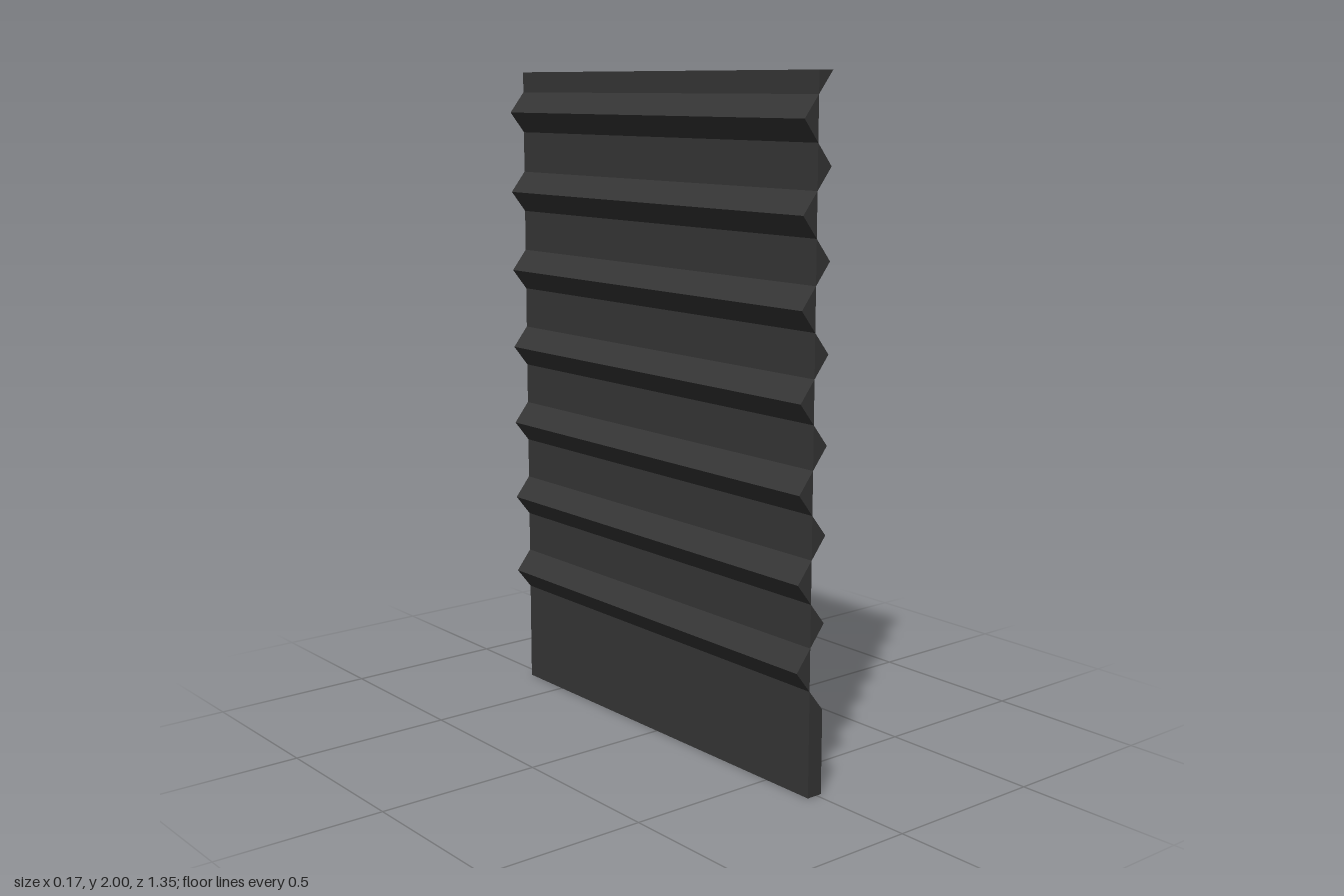
import * as THREE from 'three';

const WIDTH = 1.345, HEIGHT = 2, BASE = 0.25, STEP = 0.125;
const AXIS = -0.033, DEPTH = 0.05, FRONT = AXIS + DEPTH;

export function createModel() {
  const group = new THREE.Group();
  const metal = new THREE.MeshStandardMaterial({ color: 0x353535, flatShading: true });
  const blue = new THREE.MeshStandardMaterial({ color: 0x0c1450, flatShading: true, side: THREE.DoubleSide });

  const add = (name, geometry, material) => {
    const mesh = new THREE.Mesh(geometry, material);
    mesh.name = name;
    group.add(mesh);
  };

  // Prism running the full width, from a counter-clockwise outline in x and y
  const prism = (points) => new THREE.ExtrudeGeometry(
    new THREE.Shape(points.map(([x, y]) => new THREE.Vector2(x, y))),
    { depth: WIDTH, bevelEnabled: false },
  ).translate(0, 0, -WIDTH / 2);

  // Flat bottom strip
  add('bottomStrip', prism([[AXIS, 0], [FRONT, 0], [FRONT, BASE], [AXIS, BASE]]), metal);

  // Ribs: triangular prisms pointing out and in by turns, halved at both ends
  const count = Math.round((HEIGHT - BASE) / STEP);
  for (let i = 0; i <= count; i++) {
    const y = BASE + i * STEP;
    const low = Math.max(BASE, y - STEP / 2), high = Math.min(HEIGHT, y + STEP / 2);
    const tip = AXIS + (i % 2 ? -DEPTH : DEPTH);
    const points = [[AXIS, low], [tip, y], [AXIS, high]];
    add(i % 2 ? 'innerRib' : 'outerRib', prism(points), metal);
  }

  // Pull handle: a thin U-shaped strip, open above and below
  const reach = 0.066, span = 0.165, tall = 0.055, midY = 0.13;
  const grip = new THREE.PlaneGeometry(span, tall).rotateY(Math.PI / 2);
  add('handleGrip', grip.translate(FRONT + reach, midY, 0), blue);
  for (const side of [1, -1]) {
    const arm = new THREE.PlaneGeometry(reach, tall);
    add('handleArm', arm.translate(FRONT + reach / 2, midY, side * span / 2), blue);
  }
  return group;
}
